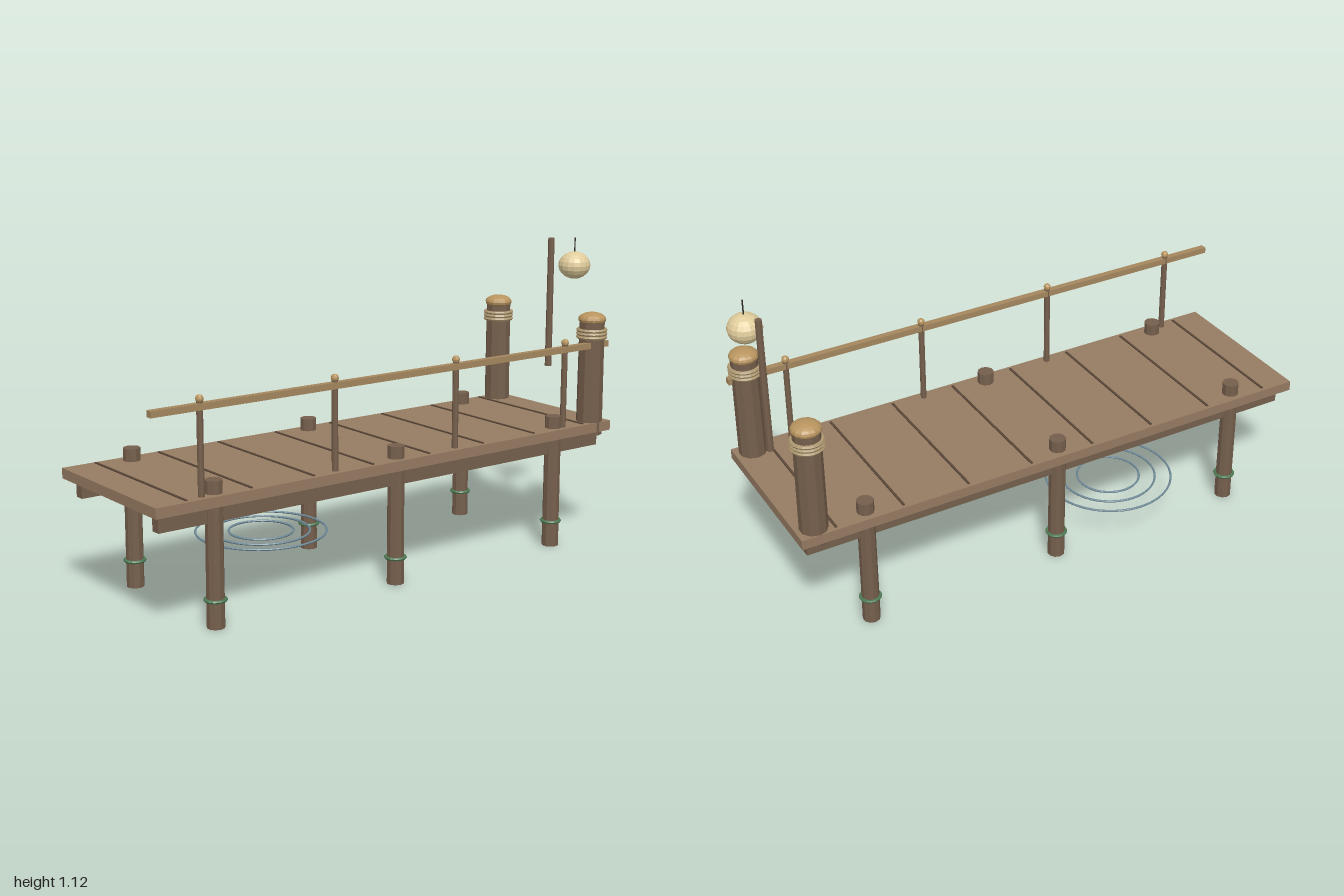
import * as THREE from 'three';

const mat = (color) => new THREE.MeshStandardMaterial({ color, flatShading: true });
const deckWood = mat(0x967b62);
const darkWood = mat(0x755f4c);
const seamWood = mat(0x5a4838);
const railWood = mat(0xa5875f);
const capWood = mat(0xb8945f);
const rope = mat(0xb09a72);
const moss = mat(0x4f7a55);
const water = mat(0x6f8a98);
const paper = mat(0xe0cc9c);
const iron = mat(0x2e2a28);

export function createModel() {
  const model = new THREE.Group();
  model.name = 'dock';

  const add = (name, geometry, material, x, y, z) => {
    const mesh = new THREE.Mesh(geometry, material);
    mesh.name = name;
    mesh.position.set(x, y, z);
    model.add(mesh);
    return mesh;
  };
  // Box given by its extents
  const box = (name, material, x0, x1, y0, y1, z0, z1) =>
    add(name, new THREE.BoxGeometry(x1 - x0, y1 - y0, z1 - z0), material,
      (x0 + x1) / 2, (y0 + y1) / 2, (z0 + z1) / 2);
  // Upright round post between two heights
  const post = (name, material, x, z, y0, y1, rTop, rBottom, sides) =>
    add(name, new THREE.CylinderGeometry(rTop, rBottom, y1 - y0, sides), material, x, (y0 + y1) / 2, z);
  // Ring lying flat
  const ring = (name, material, x, y, z, radius, tube, sides) => {
    const mesh = add(name, new THREE.TorusGeometry(radius, tube, 6, sides), material, x, y, z);
    mesh.rotation.x = Math.PI / 2;
    return mesh;
  };

  // Deck with plank seams
  box('deck', deckWood, -1, 0.97, 0.415, 0.451, -0.285, 0.328);
  for (let i = 0; i < 8; i++) {
    const x = -0.88 + i * 0.246;
    box('plankSeam', seamWood, x - 0.004, x + 0.004, 0.447, 0.455, -0.272, 0.312);
  }

  // Long beams under the deck
  for (const z of [0.271, -0.226]) {
    box('beam', darkWood, -0.97, 0.94, 0.355, 0.417, z - 0.018, z + 0.018);
  }

  // Piles with moss rings, and the two tall end posts
  for (const z of [0.281, -0.236]) {
    for (const x of [-0.76, -0.02, 0.72]) {
      post('pile', darkWood, x, z, 0, 0.495, 0.03, 0.031, 10);
      ring('mossRing', moss, x, 0.095, z, 0.034, 0.006, 16);
    }
    const x = 0.906;
    post('endPost', darkWood, x, z, 0.402, 0.836, 0.047, 0.049, 10);
    const cap = add('endPostCap', new THREE.SphereGeometry(0.052, 14, 10), capWood, x, 0.837, z);
    cap.scale.y = 0.5;
    for (const y of [0.771, 0.784, 0.797]) {
      ring('ropeRing', rope, x, y, z, 0.051, 0.007, 20);
    }
  }

  // Handrail along the front edge
  box('handrail', railWood, -1, 0.965, 0.732, 0.754, 0.288, 0.312);
  for (let i = 0; i < 4; i++) {
    const x = -0.816 + i * 0.523;
    post('railPost', darkWood, x, 0.298, 0.445, 0.765, 0.011, 0.011, 8);
    add('railPostKnob', new THREE.SphereGeometry(0.014, 8, 6), capWood, x, 0.767, 0.298);
  }

  // Lantern pole, paper lantern and its cord
  post('lanternPole', darkWood, 0.936, 0.022, 0.616, 1.11, 0.012, 0.013, 8);
  const lantern = add('lantern', new THREE.SphereGeometry(0.06, 16, 10), paper, 0.939, 1.02, 0.146);
  lantern.scale.y = 0.85;
  post('lanternCord', iron, 0.939, 0.146, 1.06, 1.123, 0.0025, 0.0025, 6);

  // Ripples on the water
  for (const radius of [0.115, 0.174, 0.233]) {
    ring('ripple', water, -0.325, 0.155, -0.1, radius, 0.004, 40);
  }

  return model;
}
